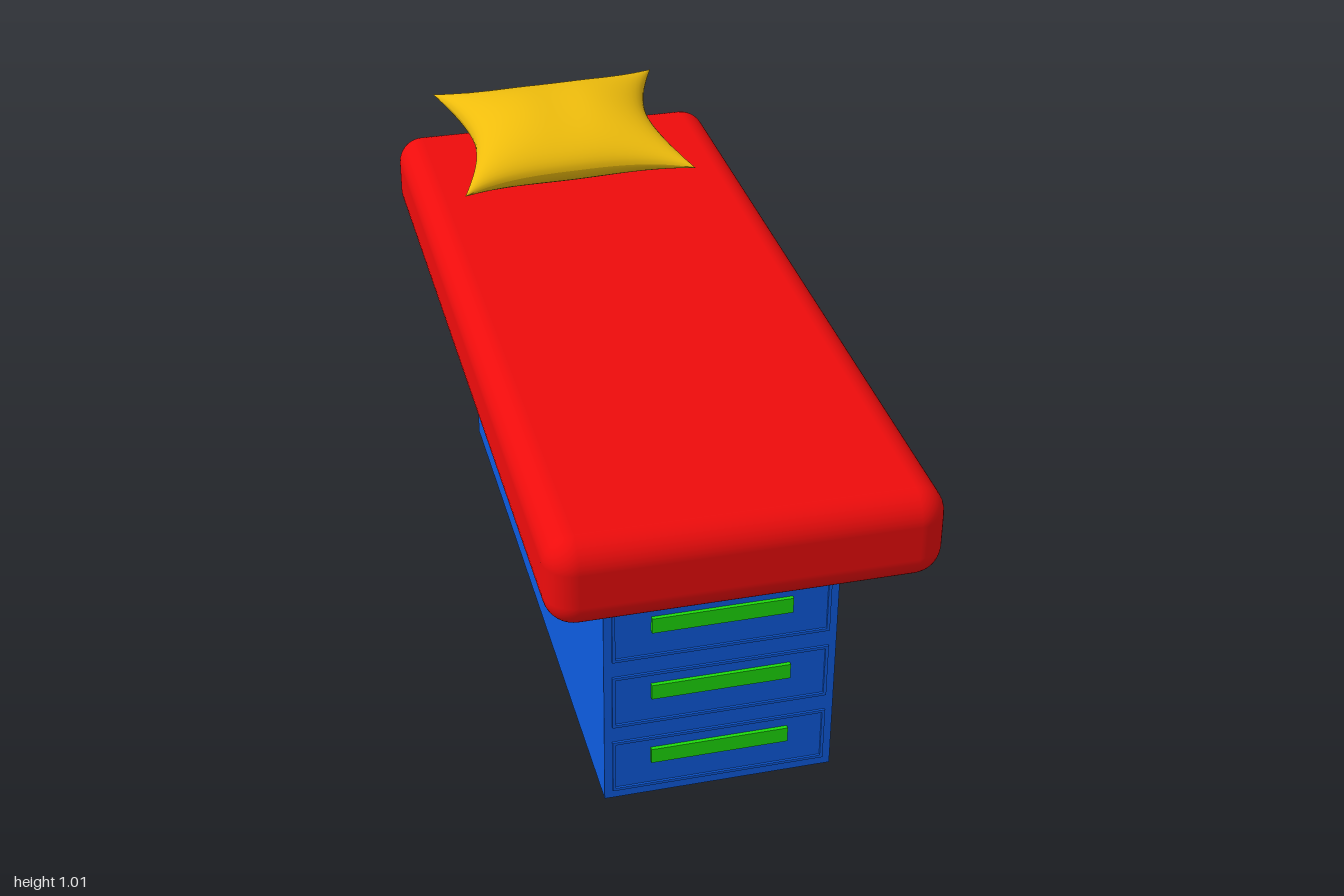
import * as THREE from 'three';
import { RoundedBoxGeometry } from 'three/addons/geometries/RoundedBoxGeometry.js';
import { mergeGeometries } from 'three/addons/utils/BufferGeometryUtils.js';

const material = (color) => new THREE.MeshStandardMaterial({ color });
const blue = material(0x0d5ce0);
const red = material(0xee0c0c);
const green = material(0x1edc0c);
const yellow = material(0xeebc0c);

function part(name, geometry, mat, x = 0, y = 0, z = 0) {
  const mesh = new THREE.Mesh(geometry, mat);
  mesh.name = name;
  mesh.position.set(x, y, z);
  return mesh;
}

function rectangle(Type, w, h) {
  return new Type([[-w, -h], [w, -h], [w, h], [-w, h]].map(([x, y]) => new THREE.Vector2(x / 2, y / 2)));
}

// Thin raised rim around a drawer front
function drawerRim() {
  const shape = rectangle(THREE.Shape, 0.488, 0.138);
  shape.holes.push(rectangle(THREE.Path, 0.474, 0.124));
  return new THREE.ExtrudeGeometry(shape, { depth: 0.006, bevelEnabled: false });
}

// Three drawers on one end of the cabinet
function drawerEnd() {
  const end = new THREE.Group();
  end.name = 'drawerEnd';
  const rim = drawerRim();
  const handle = new THREE.BoxGeometry(0.314, 0.038, 0.014);
  for (let i = 0; i < 3; i++) {
    const y = 0.091 + i * 0.18;
    end.add(part('drawerRim', rim, blue, 0, y, 0.787));
    end.add(part('drawerHandle', handle, green, 0, y + 0.018, 0.79));
  }
  return end;
}

// Cushion: two sheets bulged apart, with edges drawn in between pointed corners
function pillowSheet(side) {
  const n = 28;
  const geometry = new THREE.PlaneGeometry(2, 2, n, n).rotateX(-side * Math.PI / 2);
  const pos = geometry.attributes.position;
  for (let i = 0; i < pos.count; i++) {
    // Closer spacing near the seam keeps the edge round
    const u = Math.sin(pos.getX(i) * Math.PI / 2);
    const v = Math.sin(pos.getZ(i) * Math.PI / 2);
    const x = u * (0.23 + 0.067 * Math.abs(v) ** 1.8);
    const z = v * (0.187 + 0.053 * Math.abs(u) ** 3);
    const puff = 0.082 * Math.max(0, 1 - u * u) ** 0.45 * Math.max(0, 1 - v * v) ** 0.5;
    const dimple = side > 0 ? 0.008 * Math.exp(-((u / 0.3) ** 2)) * (1 - v * v) : 0;
    pos.setXYZ(i, x, side * puff - dimple * (1 - u * u) - 0.146 * z + 0.006 * u, z);
  }
  geometry.computeVertexNormals();
  return geometry;
}

export function createModel() {
  const bed = new THREE.Group();
  bed.name = 'bed';

  // Cabinet base, with drawers at both ends
  bed.add(part('cabinet', new THREE.BoxGeometry(0.524, 0.64, 1.576), blue, 0, 0.32, 0));
  const front = drawerEnd();
  const back = drawerEnd();
  back.rotation.y = Math.PI;
  bed.add(front, back);

  // Mattress
  bed.add(part('mattress', new RoundedBoxGeometry(0.84, 0.209, 2, 5, 0.065), red, 0, 0.738, 0));

  // Pillow
  const pillow = mergeGeometries([pillowSheet(1), pillowSheet(-1)]);
  bed.add(part('pillow', pillow, yellow, -0.02, 0.924, -0.731));

  return bed;
}
